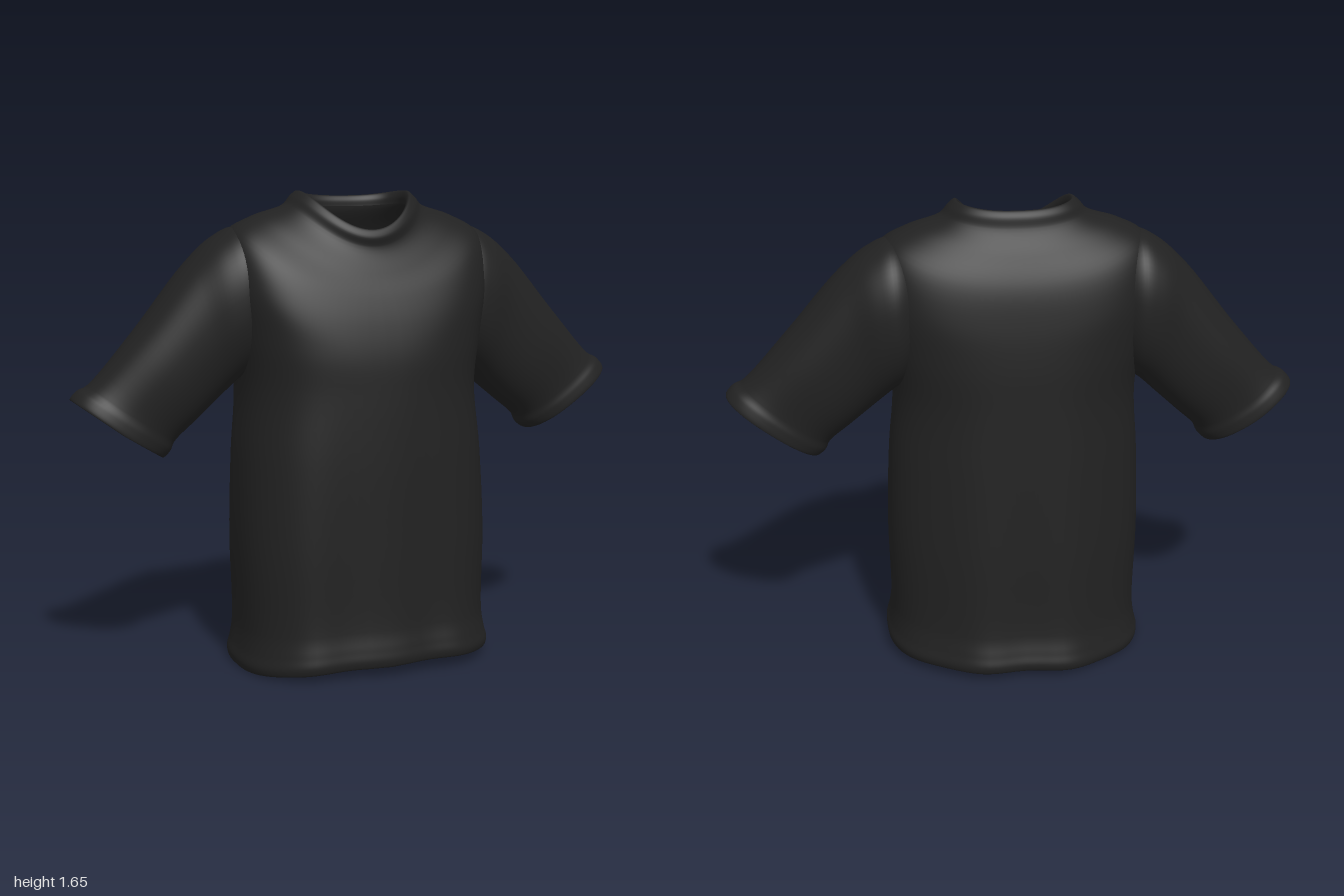
import * as THREE from 'three';

// Skin closed rings of points, smoothed lengthwise with a spline per column
function loft(rings, steps, material, name) {
  const n = rings[0].length;
  const rows = (rings.length - 1) * steps;
  const pos = [];
  const index = [];
  const columns = rings[0].map((_, i) => new THREE.CatmullRomCurve3(rings.map(r => r[i])));
  for (let j = 0; j <= rows; j++) {
    for (let i = 0; i < n; i++) pos.push(...columns[i].getPoint(j / rows).toArray());
  }
  for (let j = 0; j < rows; j++) {
    for (let i = 0; i < n; i++) {
      const k = (i + 1) % n;
      const a = j * n + i, b = j * n + k, c = a + n, d = b + n;
      index.push(a, b, c, b, d, c);
    }
  }
  const geo = new THREE.BufferGeometry();
  geo.setAttribute('position', new THREE.Float32BufferAttribute(pos, 3));
  geo.setIndex(index);
  geo.computeVertexNormals();
  const mesh = new THREE.Mesh(geo, material);
  mesh.name = name;
  return mesh;
}

const spow = (v, p) => Math.sign(v) * Math.pow(Math.abs(v), p);

// Horizontal body ring: half width, front z, back z, heights at side / front / back,
// squareness of the front and back halves
function bodyRing([a, zf, zb, ys, yf, yb, nf, nb]) {
  const pts = [];
  const N = 96;
  for (let i = 0; i < N; i++) {
    const t = (i / N) * Math.PI * 2;
    const c = Math.cos(t), s = Math.sin(t);
    const front = s >= 0;
    const p = 2 / (front ? nf : nb);
    let x = a * spow(c, p);
    const depth = Math.pow(Math.abs(s), p);
    let z = (front ? zf : zb) * depth;
    let y = ys + ((front ? yf : yb) - ys) * s * s;
    // soft vertical folds that fade out toward the chest, and a slightly uneven hem
    const fade = THREE.MathUtils.clamp(1.1 - y, 0, 1) * s * s;
    z += fade * (front ? 0.01 * Math.cos(x * 21) : 0.012 * Math.cos(x * 19));
    const low = THREE.MathUtils.clamp(1 - y, 0, 1);
    y += low * 0.028 * x;
    x += low * 0.007;
    pts.push(new THREE.Vector3(x, y, z));
  }
  return pts;
}

// Sleeve ring spanning a top point and a bottom point, with a half depth in z
function sleeveRing([tx, ty, bx, by, zh], side) {
  const pts = [];
  const N = 64;
  for (let i = 0; i < N; i++) {
    const t = side * (i / N) * Math.PI * 2;
    const k = (1 + spow(Math.cos(t), 0.88)) / 2;
    const x = bx + (tx - bx) * k;
    const drop = side < 0 ? 0.045 * THREE.MathUtils.clamp((x - 0.45) / 0.4, 0, 1) : 0;
    const y = by + (ty - by) * k - drop;
    pts.push(new THREE.Vector3(side * x, y, -0.02 + zh * spow(Math.sin(t), 0.88)));
  }
  return pts;
}

export function createModel() {
  const shirt = new THREE.Group();
  shirt.name = 'shirt';
  const cloth = new THREE.MeshStandardMaterial({ color: 0x212121, side: THREE.DoubleSide });
  cloth.name = 'black cloth';

  // Rolled collar, shoulders, chest, waist and folded hem
  const body = [
    [0.188, 0.184, -0.107, 1.6, 1.495, 1.59, 2, 2.5],
    [0.187, 0.186, -0.109, 1.625, 1.508, 1.612, 2, 2.5],
    [0.198, 0.196, -0.121, 1.646, 1.516, 1.628, 2, 2.5],
    [0.222, 0.211, -0.138, 1.63, 1.49, 1.61, 2, 2.4],
    [0.25, 0.207, -0.147, 1.6, 1.455, 1.57, 2, 2.3],
    [0.36, 0.24, -0.19, 1.563, 1.37, 1.49, 2.1, 2.3],
    [0.455, 0.275, -0.235, 1.505, 1.29, 1.39, 2.4, 2.6],
    [0.475, 0.305, -0.262, 1.37, 1.2, 1.26, 2.6, 2.8],
    [0.45, 0.328, -0.278, 1.18, 1.09, 1.12, 2.6, 2.6],
    [0.425, 0.336, -0.288, 0.98, 0.96, 0.96, 2.6, 2.3],
    [0.441, 0.342, -0.303, 0.74, 0.74, 0.74, 2.8, 2.2],
    [0.45, 0.344, -0.322, 0.45, 0.45, 0.45, 3, 2.2],
    [0.444, 0.35, -0.342, 0.15, 0.16, 0.15, 3, 2.2],
    [0.453, 0.361, -0.36, 0.08, 0.095, 0.085, 3, 2.2],
    [0.463, 0.366, -0.371, 0.036, 0.055, 0.045, 3, 2.2],
    [0.455, 0.358, -0.363, 0.011, 0.034, 0.024, 3, 2.2],
    [0.438, 0.345, -0.345, 0.03, 0.05, 0.04, 3, 2.2],
  ].map(bodyRing);
  shirt.add(loft(body, 6, cloth, 'body'));

  // Sleeves, emerging from the shoulder and ending in a folded cuff
  const sleeve = [
    [0.33, 1.47, 0.36, 1.08, 0.16],
    [0.42, 1.525, 0.4, 1.025, 0.193],
    [0.5, 1.497, 0.44, 0.995, 0.19],
    [0.6, 1.418, 0.5, 0.945, 0.166],
    [0.78, 1.215, 0.58, 0.88, 0.146],
    [0.94, 1.045, 0.65, 0.822, 0.127],
    [0.975, 1.028, 0.667, 0.79, 0.132],
    [0.998, 1.0, 0.692, 0.773, 0.132],
    [0.992, 0.995, 0.697, 0.782, 0.126],
    [0.945, 1.03, 0.66, 0.82, 0.122],
  ];
  for (const side of [1, -1]) {
    const rings = sleeve.map(r => sleeveRing(r, side));
    shirt.add(loft(rings, 6, cloth, side > 0 ? 'leftSleeve' : 'rightSleeve'));
  }
  return shirt;
}
